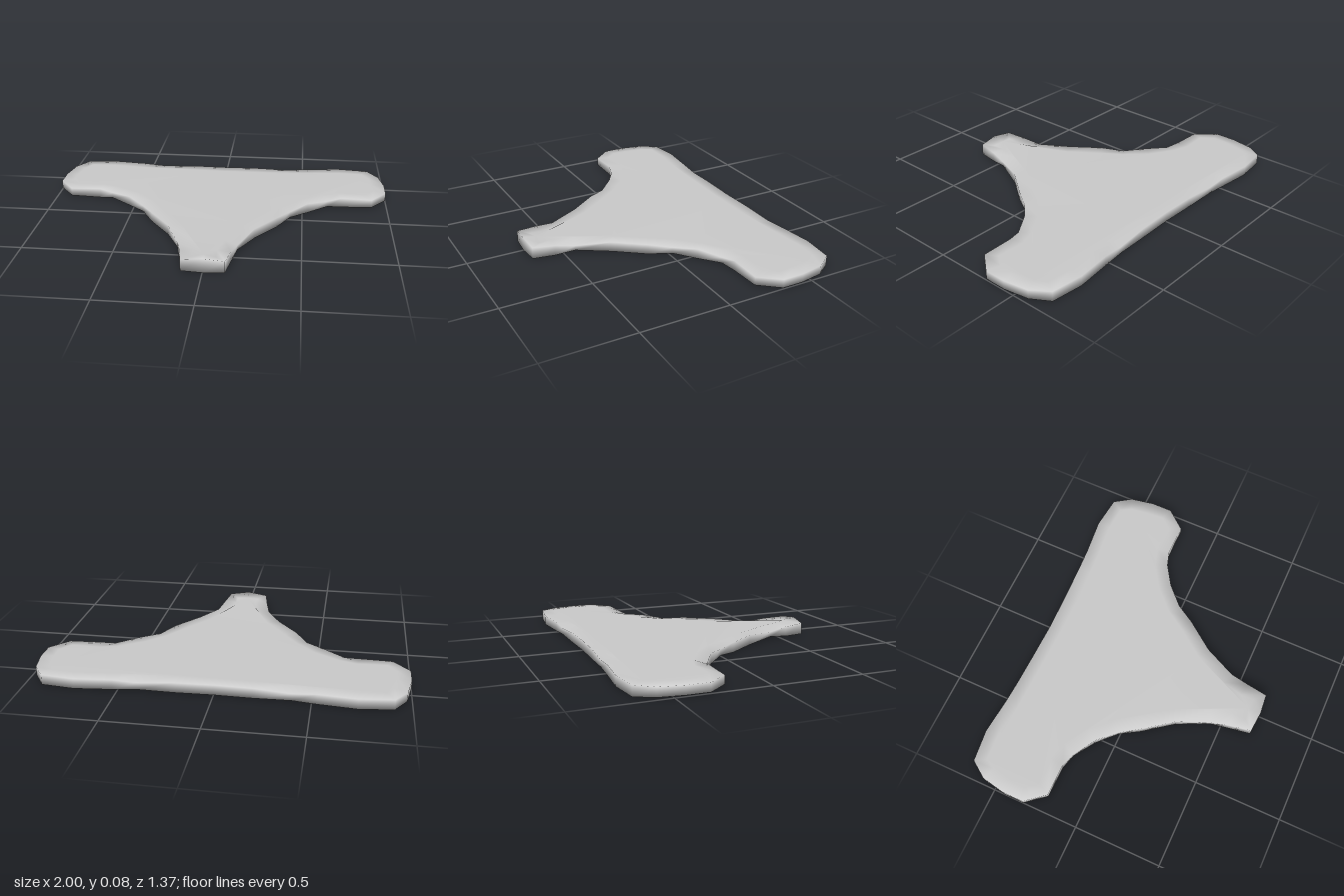
import * as THREE from 'three';

// Half outline from front tip to back centre: x, z, rim top, rim bottom
const HALF = [
  [0, 0.68, 0.08, 0.0], [0.115, 0.67, 0.065, 0.0], [0.135, 0.55, 0.058, 0.0],
  [0.16, 0.44, 0.042, 0.015], [0.24, 0.26, 0.056, 0.0], [0.36, 0.1, 0.056, 0.0],
  [0.43, -0.01, 0.045, 0.01], [0.53, -0.11, 0.056, 0.0], [0.65, -0.185, 0.045, 0.012],
  [0.73, -0.21, 0.056, 0.0], [0.91, -0.21, 0.052, 0.006], [1, -0.32, 0.054, 0.006],
  [1, -0.44, 0.054, 0.006], [0.975, -0.575, 0.054, 0.004], [0.91, -0.67, 0.056, 0.0],
  [0.73, -0.69, 0.056, 0.0], [0.53, -0.67, 0.055, 0.0], [0.4, -0.665, 0.046, 0.008],
  [0.2, -0.655, 0.056, 0.0], [0, -0.65, 0.056, 0.0],
];
const TOP = 0.058, INSET = 0.075;

function createSlab() {
  // Mirror the half outline into a closed loop
  const loop = [...HALF, ...HALF.slice(1, -1).reverse().map(([x, z, t, b]) => [-x, z, t, b])];
  const n = loop.length;

  // Inner loop that carries the flat faces
  const inner = loop.map(([x, z], i) => {
    const p = loop[(i + n - 1) % n], q = loop[(i + 1) % n];
    const a = new THREE.Vector2(z - p[1], p[0] - x).normalize();
    const b = new THREE.Vector2(q[1] - z, x - q[0]).normalize();
    const m = a.add(b).normalize().multiplyScalar(INSET);
    return [x + m.x, z + m.y];
  });

  // Rings: underside, lower rim, upper rim, top
  const pos = [];
  inner.forEach(([x, z]) => pos.push(x, 0, z));
  loop.forEach(([x, z, , b]) => pos.push(x, b, z));
  loop.forEach(([x, z, t]) => pos.push(x, t, z));
  inner.forEach(([x, z], i) => pos.push(x, i === 0 ? 0.066 : TOP, z));

  const index = [];
  for (let k = 0; k < 3; k++) {
    for (let i = 0; i < n; i++) {
      const j = (i + 1) % n;
      const a = k * n + i, b = k * n + j, c = b + n, d = a + n;
      index.push(a, b, c, a, c, d);
    }
  }

  // Flat top and underside
  const flat = inner.map(([x, z]) => new THREE.Vector2(x, -z));
  for (const tri of THREE.ShapeUtils.triangulateShape(flat, [])) {
    let [a, b, c] = tri;
    if (THREE.ShapeUtils.area([flat[a], flat[b], flat[c]]) < 0) [b, c] = [c, b];
    index.push(3 * n + a, 3 * n + b, 3 * n + c, a, c, b);
  }

  const geometry = new THREE.BufferGeometry();
  geometry.setAttribute('position', new THREE.Float32BufferAttribute(pos, 3));
  geometry.setIndex(index);
  geometry.computeVertexNormals();
  return geometry;
}

export function createModel() {
  const group = new THREE.Group();
  group.name = 'flatPiece';
  const material = new THREE.MeshStandardMaterial({ color: 0xcccccc, side: THREE.DoubleSide });
  const slab = new THREE.Mesh(createSlab(), material);
  slab.name = 'taperedSlab';
  group.add(slab);
  return group;
}
